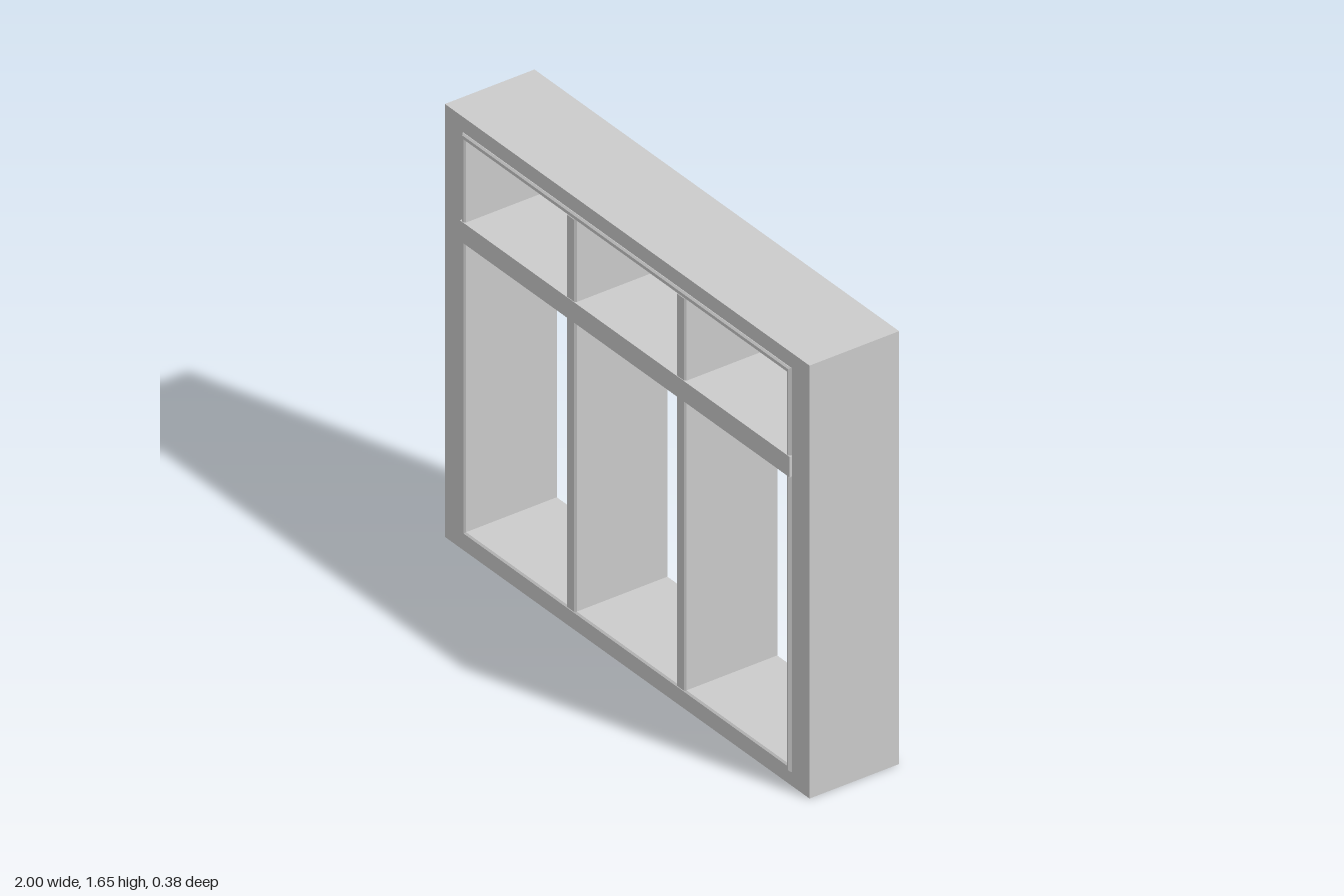
import * as THREE from 'three';

const material = new THREE.MeshStandardMaterial({ color: 0xcccccc, flatShading: true });

// Counter-clockwise rectangle from its edges
function rect(Type, x0, y0, x1, y1) {
  const path = new Type();
  path.moveTo(x0, y0);
  path.lineTo(x1, y0);
  path.lineTo(x1, y1);
  path.lineTo(x0, y1);
  path.closePath();
  return path;
}

// Shape extruded symmetrically about z = 0, with optional small chamfer
function slab(name, shape, halfDepth, bevel = 0) {
  const geometry = new THREE.ExtrudeGeometry(shape, {
    depth: 2 * (halfDepth - bevel),
    bevelEnabled: bevel > 0,
    bevelThickness: bevel,
    bevelSize: bevel,
    bevelOffset: -bevel,
    bevelSegments: 1,
  });
  geometry.translate(0, 0, -(halfDepth - bevel));
  const mesh = new THREE.Mesh(geometry, material);
  mesh.name = name;
  return mesh;
}

export function createModel() {
  const model = new THREE.Group();
  model.name = 'windowFrame';

  // Deep outer surround
  const surround = rect(THREE.Shape, -1, 0, 1, 1.65);
  surround.holes.push(rect(THREE.Path, -0.895, 0.06, 0.895, 1.585));
  model.add(slab('outerFrame', surround, 0.18));

  // Thin chamfered lining standing slightly proud of the surround
  const lining = rect(THREE.Shape, -0.9, 0.052, 0.9, 1.592);
  lining.holes.push(rect(THREE.Path, -0.881, 0.078, 0.881, 1.568));
  model.add(slab('innerFrame', lining, 0.188, 0.006));

  // Two upright mullions
  for (const [name, x] of [['rightMullion', -0.299], ['leftMullion', 0.303]]) {
    model.add(slab(name, rect(THREE.Shape, x - 0.025, 0.07, x + 0.025, 1.576), 0.188, 0.006));
  }

  // Cross bar separating the tall lower lights from the upper lights
  model.add(slab('transom', rect(THREE.Shape, -0.905, 1.18, 0.905, 1.258), 0.19));

  return model;
}
